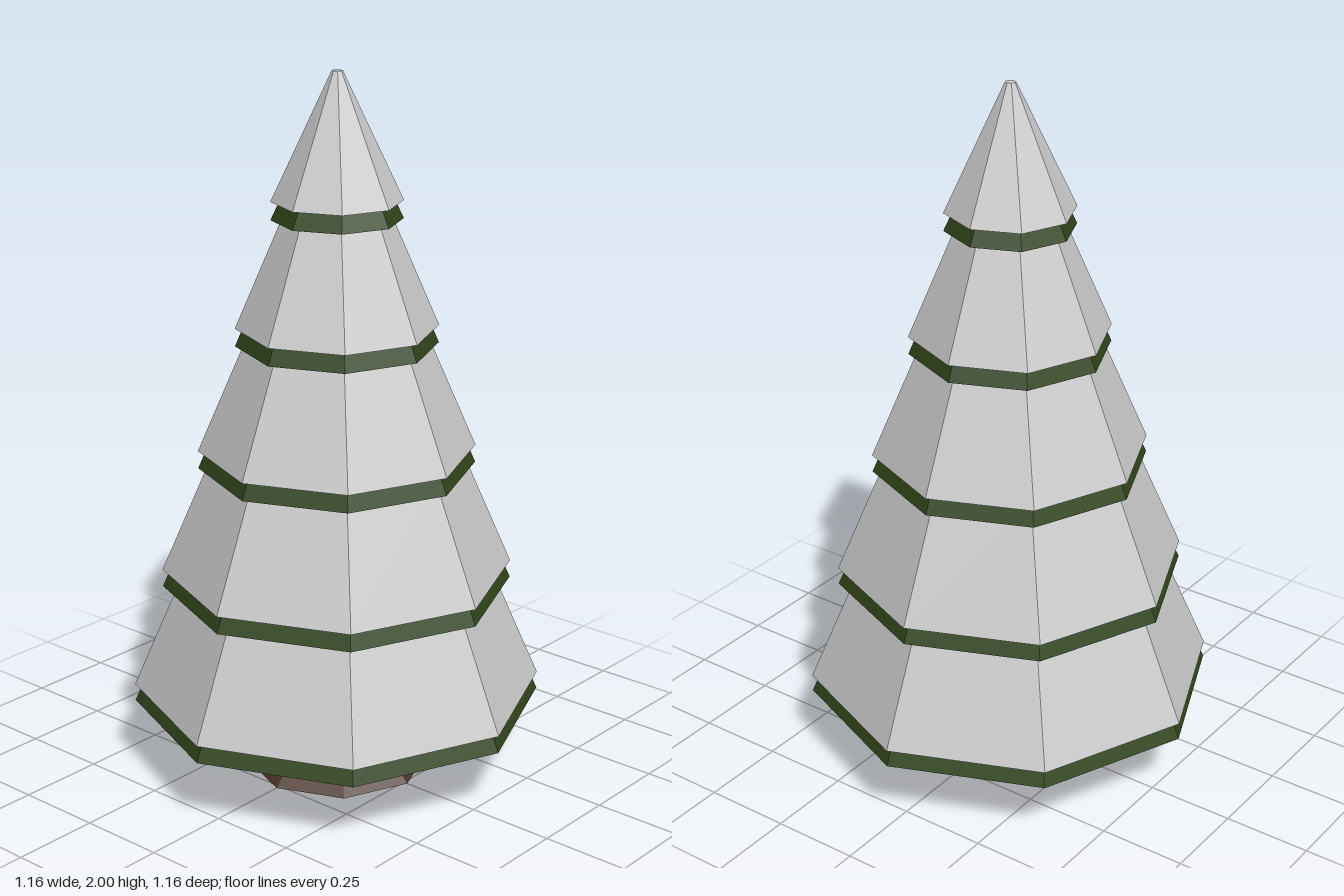
import * as THREE from 'three';

const material = (color) => new THREE.MeshStandardMaterial({ color, flatShading: true });

// Eight-sided tapered section standing on height y
function section(name, rTop, rBottom, height, y, mat, open = false) {
  const geometry = new THREE.CylinderGeometry(rTop, rBottom, height, 8, 1, open);
  geometry.translate(0, y + height / 2, 0);
  const mesh = new THREE.Mesh(geometry, mat);
  mesh.name = name;
  return mesh;
}

export function createModel() {
  const tree = new THREE.Group();
  tree.name = 'snowyTree';
  const snow = material(0xcccccc);
  const needles = material(0x30451a);
  const bark = material(0x4a3228);

  // Trunk with a flared foot
  const trunk = new THREE.Group();
  trunk.name = 'trunk';
  trunk.add(
    section('trunkFoot', 0.16, 0.263, 0.1, 0, bark),
    section('trunkStem', 0.14, 0.16, 0.12, 0.1, bark)
  );
  tree.add(trunk);

  // Five tiers: a green cone with the same cone in snow, raised slightly
  const step = 0.35, snowDepth = 0.05;
  const radii = [0.58, 0.493, 0.387, 0.28, 0.18];
  radii.forEach((r, i) => {
    const y = 0.2 + i * step;
    const rTop = i === radii.length - 1 ? 0.015 : r - 0.15;
    const tier = new THREE.Group();
    tier.name = `tier${i + 1}`;
    tier.add(
      section('branches', rTop, r, step, y, needles),
      section('snowCover', rTop, r, step, y + snowDepth, snow)
    );
    tree.add(tier);
  });

  return tree;
}
